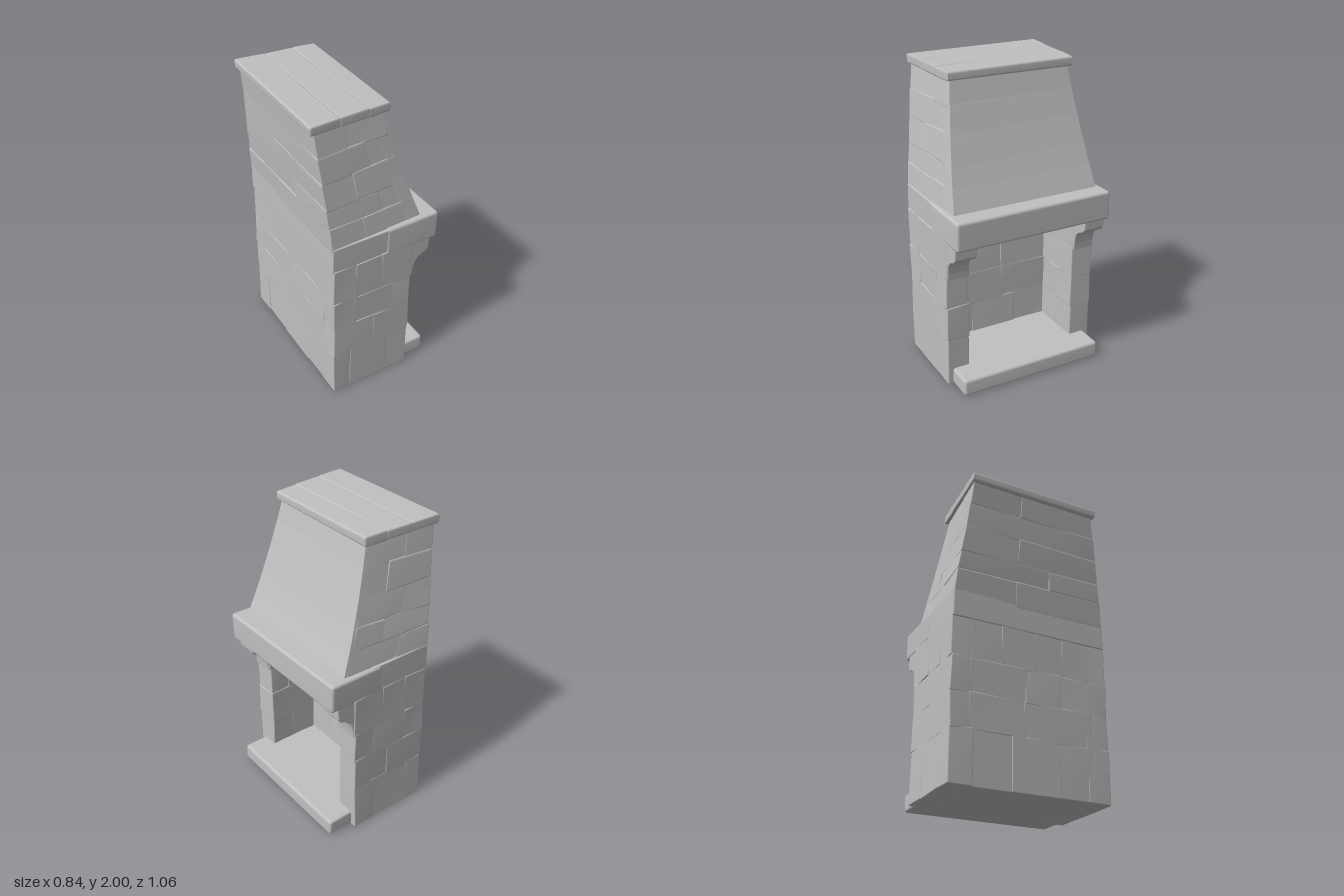
import * as THREE from 'three';
import { RoundedBoxGeometry } from 'three/addons/geometries/RoundedBoxGeometry.js';
import { mergeVertices } from 'three/addons/utils/BufferGeometryUtils.js';

export function createModel() {
  const root = new THREE.Group();
  root.name = 'fireplace';
  const stoneGrey = new THREE.MeshStandardMaterial({ color: 0xc0c0c0 });
  stoneGrey.name = 'stoneGrey';

  let seed = 11;
  const rand = () => {
    seed = (seed * 16807) % 2147483647;
    return seed / 2147483647;
  };
  const lerp = THREE.MathUtils.lerp;

  function group(name) {
    const g = new THREE.Group();
    g.name = name;
    root.add(g);
    return g;
  }

  // One rough stone between two corners: rounded edges, each corner slightly displaced.
  // The optional map bends the block into a tapering shape.
  function stone(parent, name, [x0, x1], [y0, y1], [z0, z1], { rough = 0.005, radius = 0.008, map } = {}) {
    const w = x1 - x0, h = y1 - y0, d = z1 - z0;
    let g = new RoundedBoxGeometry(w, h, d, 2, radius);
    g.deleteAttribute('normal');
    g.deleteAttribute('uv');
    g = mergeVertices(g, 1e-5);
    const offsets = Array.from({ length: 8 }, () =>
      new THREE.Vector3(rand() - 0.5, rand() - 0.5, rand() - 0.5).multiplyScalar(2 * rough));
    const p = g.attributes.position, v = new THREE.Vector3();
    for (let i = 0; i < p.count; i++) {
      v.fromBufferAttribute(p, i);
      const a = v.x / w + 0.5, b = v.y / h + 0.5, c = v.z / d + 0.5;
      v.add(new THREE.Vector3((x0 + x1) / 2, (y0 + y1) / 2, (z0 + z1) / 2));
      offsets.forEach((o, k) => {
        v.addScaledVector(o, (k & 1 ? a : 1 - a) * (k & 2 ? b : 1 - b) * (k & 4 ? c : 1 - c));
      });
      if (map) map(v);
      p.setXYZ(i, v.x, THREE.MathUtils.clamp(v.y, 0, 2), v.z);
    }
    g.computeVertexNormals();
    const m = new THREE.Mesh(g, stoneGrey);
    m.name = name;
    parent.add(m);
    return m;
  }

  const overlap = 0.007;
  const courses = [0, 0.33, 0.55, 0.76, 1.02];
  const each = (list, fn) => list.slice(1).forEach((end, i) => fn(list[i], end, i));

  // Side walls in staggered courses
  const sideJoints = [[-0.325, -0.2, 0.06, 0.23], [-0.325, -0.03, 0.235], [-0.325, -0.17, 0.09, 0.235], [-0.325, -0.16, 0.02, 0.24]];
  for (const s of [-1, 1]) {
    const wall = group(s > 0 ? 'leftWall' : 'rightWall');
    each(courses, (y0, y1, i) => each(sideJoints[i], (x0, x1) =>
      stone(wall, 'wallStone', [x0 - overlap * (x0 > -0.3), x1 + overlap * (x1 < 0.2)],
        [y0 - overlap * (i > 0), y1 + overlap], s > 0 ? [0.375, 0.527] : [-0.527, -0.375])));

    // Curved corbel carrying the mantel
    const shape = new THREE.Shape();
    shape.moveTo(0.1, 0.76);
    shape.lineTo(0.24, 0.76);
    shape.bezierCurveTo(0.25, 0.88, 0.27, 0.89, 0.34, 0.92);
    shape.lineTo(0.355, 0.94);
    shape.lineTo(0.36, 1.02);
    shape.lineTo(0.1, 1.02);
    const geo = new THREE.ExtrudeGeometry(shape, {
      depth: 0.132, bevelThickness: 0.007, bevelSize: 0.007, bevelSegments: 2, curveSegments: 8,
    });
    geo.translate(0, 0, s > 0 ? 0.385 : -0.517);
    const corbel = new THREE.Mesh(geo, stoneGrey);
    corbel.name = 'corbel';
    wall.add(corbel);
  }

  // Back wall of the firebox
  const back = group('backWall');
  const backJoints = [[-0.4, -0.13, 0.18, 0.4], [-0.4, -0.05, 0.4], [-0.4, -0.04, 0.2, 0.4], [-0.4, -0.19, 0.03, 0.22, 0.4]];
  each(courses, (y0, y1, i) => each(backJoints[i], (z0, z1) =>
    stone(back, 'backStone', [-0.325, -0.12], [y0 - overlap * (i > 0), y1 + overlap], [z0 - overlap, z1 + overlap])));

  // Hearth slab, running through to the back wall
  const hearth = group('hearth');
  stone(hearth, 'hearthSlab', [-0.31, 0.4], [0, 0.115], [-0.492, 0.492], { rough: 0.004, radius: 0.02 });

  // Mantel: stone band around the back and a heavy beam in front
  const mantel = group('mantel');
  stone(mantel, 'mantelBand', [-0.33, 0.1], [1.01, 1.19], [-0.524, 0.524], { rough: 0.003 });
  stone(mantel, 'mantelBeam', [0.04, 0.413], [1.005, 1.192], [-0.529, 0.529], { rough: 0.003, radius: 0.02 });

  // Tapering hood: blocks in unit depth and width are mapped onto the leaning frustum
  const hood = group('hood');
  const taper = (v) => {
    const t = (v.y - 1.18) / 0.76, u = v.x;
    const front = lerp(0.302, 0.075, t) - 0.06 * t * (1 - t);
    const halfBack = lerp(0.522, 0.435, t), halfFront = lerp(0.495, 0.395, t);
    v.x = lerp(lerp(-0.328, -0.395, t), front, u);
    v.z *= lerp(halfBack, halfFront, u);
  };
  const hoodOptions = { map: taper, rough: 0.008, radius: 0.012 };
  const hoodRows = [1.17, 1.33, 1.46, 1.63, 1.79, 1.95];
  each(hoodRows, (y0, y1, i) => {
    const split = i % 2 ? 0.62 : 0.4;
    const seam = i % 2 ? 0.25 : -0.2;
    const y = [y0 - overlap, y1 + overlap];
    for (const z of [[-1, seam + 0.01], [seam - 0.01, 1]]) {
      stone(hood, 'hoodStone', [0, split + 0.015], y, z, hoodOptions);
      stone(hood, 'hoodStone', [split - 0.015, 0.97], y, z, hoodOptions);
    }
  });
  // Smooth breast covering the hood's front, in short rows to follow its curve
  each(hoodRows, (y0, y1) =>
    stone(hood, 'hoodBreast', [0.85, 1], [y0 - overlap, y1 + overlap], [-1, 1], { map: taper, rough: 0.001, radius: 0.004 }));

  // Cap of three long slabs, narrowing and dipping slightly to the front
  const cap = group('cap');
  const capShape = (v) => {
    const t = (v.x + 0.415) / 0.515;
    v.z *= lerp(0.452, 0.42, t);
    v.y -= 0.012 * t;
  };
  each([-0.415, -0.23, -0.045, 0.1], (x0, x1) =>
    stone(cap, 'capSlab', [x0 - 0.006, x1 + 0.003], [1.94, 2], [-1, 1], { map: capShape, rough: 0.003, radius: 0.014 }));

  return root;
}
